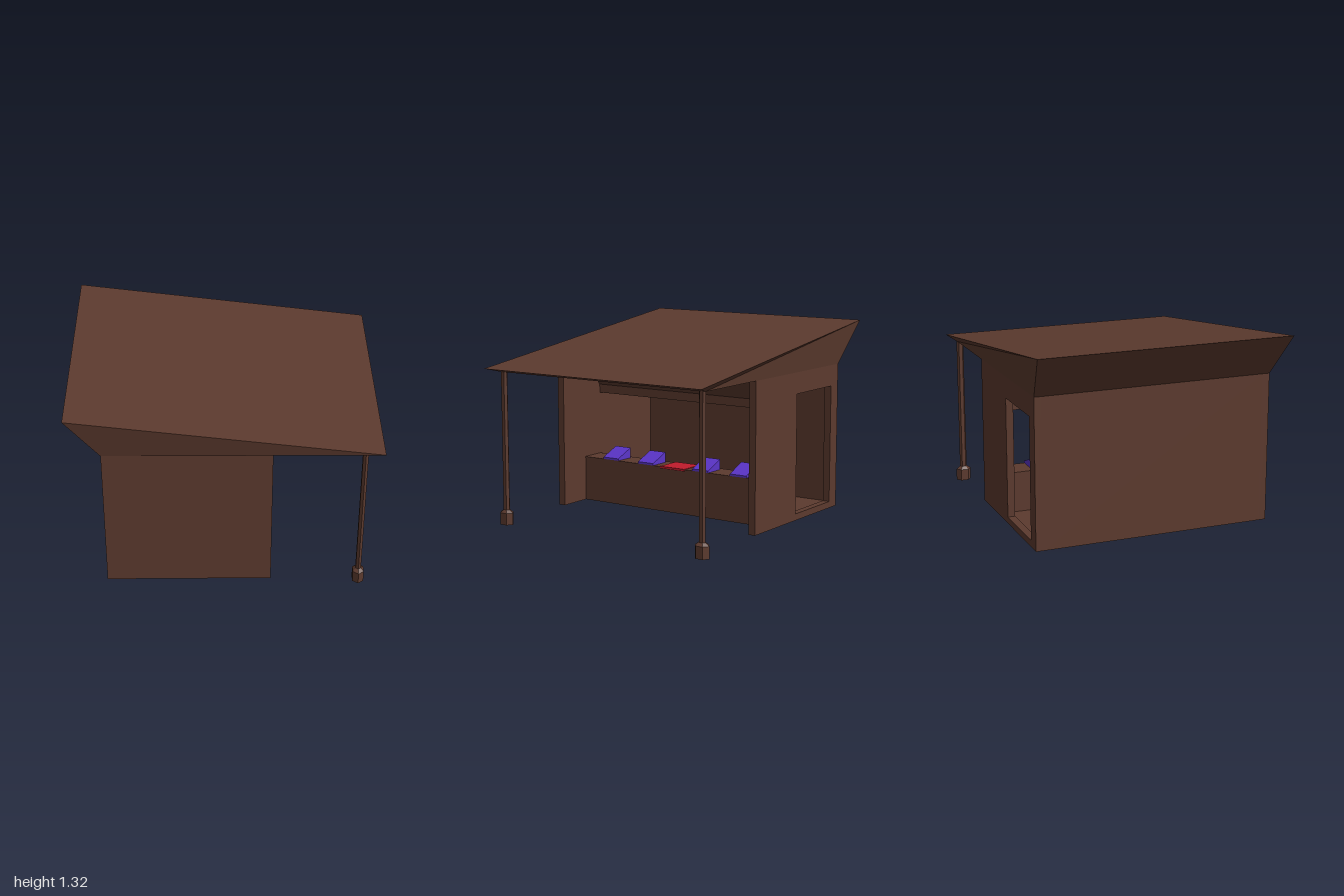
import * as THREE from 'three';

const wood = new THREE.MeshStandardMaterial({ color: 0x5c3a2e, flatShading: true });
const red = new THREE.MeshStandardMaterial({ color: 0xc01c2c, flatShading: true });
const purple = new THREE.MeshStandardMaterial({ color: 0x5b35c8, flatShading: true });

export function createModel() {
  const model = new THREE.Group();

  const add = (name, geometry, material = wood) => {
    const mesh = new THREE.Mesh(geometry, material);
    mesh.name = name;
    model.add(mesh);
    return mesh;
  };

  // Box given by its limits on each axis
  const block = (name, x0, x1, y0, y1, z0, z1, material) =>
    add(name, new THREE.BoxGeometry(x1 - x0, y1 - y0, z1 - z0), material)
      .position.set((x0 + x1) / 2, (y0 + y1) / 2, (z0 + z1) / 2);

  // Outline in x and y, extruded from z0 to z1
  const slab = (name, points, z0, z1, material, hole) => {
    const shape = new THREE.Shape(points.map(p => new THREE.Vector2(...p)));
    if (hole) shape.holes.push(new THREE.Path(hole.map(p => new THREE.Vector2(...p))));
    const geometry = new THREE.ExtrudeGeometry(shape, { depth: z1 - z0, bevelEnabled: false });
    add(name, geometry.translate(0, 0, z0), material);
  };

  const rect = (x0, x1, y0, y1) => [[x0, y0], [x1, y0], [x1, y1], [x0, y1]];
  const bottom = 0.025, eave = 1.03, inner = 0.76, outer = 0.81;

  // Walls: two sides, one with a doorway, and the long rear wall
  slab('sideWall', rect(-0.78, 0.3, bottom, eave), inner, outer, wood);
  slab('doorWall', rect(-0.78, 0.3, bottom, eave), -outer, -inner, wood,
    rect(-0.685, -0.22, 0.07, 0.885));
  block('rearWall', -0.78, -0.73, bottom, eave, -inner, inner);

  // Floor, set slightly above the lower edge of the walls
  block('floor', -0.73, -0.11, 0.035, 0.06, -inner, inner);

  // Counter: solid base under a thin top
  block('counterBase', -0.11, 0.06, bottom, 0.325, -inner, inner);
  block('counterTop', -0.115, 0.065, 0.325, 0.338, -inner, inner);
  block('counterCloth', -0.118, 0.07, 0.327, 0.342, -0.1, 0.1, red);

  // Wedge-shaped display boxes on the counter
  for (const z of [-0.53, -0.228, 0.228, 0.53]) {
    slab('displayBox', [[-0.08, 0.338], [0.065, 0.338], [0.065, 0.352], [-0.08, 0.41]],
      z - 0.065, z + 0.065, purple);
  }

  // Slanted header over the counter opening
  slab('header', [[-0.15, 0.78], [-0.11, 0.78], [-0.11, 0.84], [0.06, eave], [-0.15, eave]],
    -inner, inner, wood);

  // Roof: a box narrowed at the bottom, with a sloping top
  const roof = new THREE.BoxGeometry(2, 1, 2);
  const pos = roof.attributes.position;
  for (let i = 0; i < pos.count; i++) {
    const right = pos.getX(i) > 0, side = Math.sign(pos.getZ(i));
    if (pos.getY(i) > 0) pos.setXYZ(i, right ? 1 : -1, right ? 1.06 : 1.32, side * 0.86);
    else pos.setXYZ(i, right ? 0.88 : -0.78, eave, side * outer);
  }
  roof.computeVertexNormals();
  add('roof', roof);

  // Six-sided posts on flared feet
  for (const z of [-0.79, 0.79]) {
    const post = add('post', new THREE.CylinderGeometry(0.025, 0.025, 0.95, 6));
    post.scale.x = 0.8;
    post.position.set(0.88, 0.565, z);
    const profile = [[0, 0], [0.0525, 0], [0.0525, 0.08], [0.025, 0.1]];
    const foot = add('postFoot',
      new THREE.LatheGeometry(profile.map(p => new THREE.Vector2(...p)), 6));
    foot.scale.x = 0.8;
    foot.position.set(0.88, 0, z);
  }

  return model;
}
